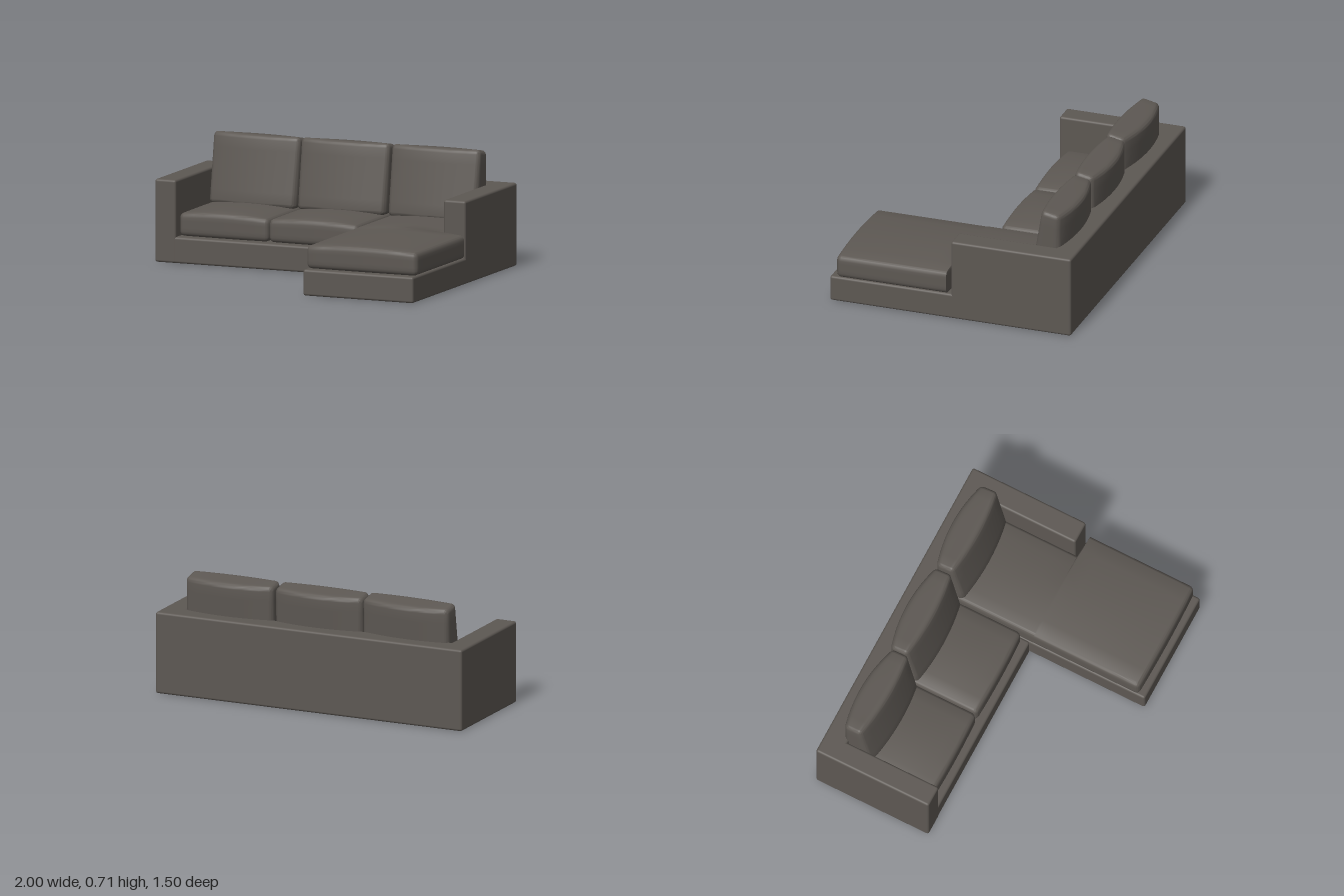
import * as THREE from 'three';
import { RoundedBoxGeometry } from 'three/addons/geometries/RoundedBoxGeometry.js';
import { mergeVertices, toCreasedNormals } from 'three/addons/utils/BufferGeometryUtils.js';

const fabric = new THREE.MeshStandardMaterial({ color: 0x5d5853 });

function addMesh(group, name, geometry) {
  const mesh = new THREE.Mesh(geometry, fabric);
  mesh.name = name;
  group.add(mesh);
  return mesh;
}

// Rounded frame panel given by its limits on each axis
function panel(group, name, [x0, x1], [y0, y1], [z0, z1]) {
  const geo = new RoundedBoxGeometry(x1 - x0, y1 - y0, z1 - z0, 3, 0.014);
  geo.translate((x0 + x1) / 2, (y0 + y1) / 2, (z0 + z1) / 2);
  addMesh(group, name, geo);
}

// Soft box: round the edges, then let a rule reshape each vertex.
// The rule gets the point and its normalised position (-1..1 per axis).
function cushion(size, r, segments, rule) {
  const geo = new THREE.BoxGeometry(2, 2, 2, ...segments);
  geo.deleteAttribute('uv');
  geo.deleteAttribute('normal');
  const pos = geo.attributes.position;
  const p = new THREE.Vector3(), n = new THREE.Vector3(), corner = new THREE.Vector3();
  for (let i = 0; i < pos.count; i++) {
    p.fromBufferAttribute(pos, i);
    for (let a = 0; a < 3; a++) {
      const t = p.getComponent(a), m = Math.abs(t), flat = size[a] / 2 - r;
      p.setComponent(a, Math.sign(t) * flat * Math.min(1, m * 2));
      corner.setComponent(a, Math.sign(t) * Math.max(0, m * 2 - 1));
    }
    p.addScaledVector(corner.normalize(), r);
    n.set(p.x / size[0] * 2, p.y / size[1] * 2, p.z / size[2] * 2);
    rule(p, n);
    pos.setXYZ(i, p.x, p.y, p.z);
  }
  return toCreasedNormals(mergeVertices(geo, 1e-5), 0.8);
}

const lerp = THREE.MathUtils.lerp;

// Crowned seat cushion; the origin of its height is the top of the base
function seatCushion(x0, x1, z0, z1, nz, rule) {
  const h = 0.135;
  return cushion([x1 - x0, h, z1 - z0], 0.028, [16, 8, nz], (p, n) => {
    const lift = (n.y + 1) / 2;
    p.y += 0.155 + h / 2 + lift * 0.025 * (1 - n.x * n.x) * (1 - 0.45 * n.z * n.z);
    p.z += n.z > 0 ? 0.008 * n.z * (1 - n.x * n.x) : 0;
    p.x += (x0 + x1) / 2;
    p.z += (z0 + z1) / 2;
    if (rule) rule(p, n);
  });
}

// Leaning back cushion, bulging to the front and to the rear
function backCushion() {
  return cushion([0.565, 0.41, 0.15], 0.028, [20, 12, 10], (p, n) => {
    const t = (n.y + 1) / 2, bow = 1 - n.x * n.x;
    const front = lerp(-0.45, -0.52, t) + bow * lerp(0.03, 0.025, t);
    const back = -0.625 - bow * lerp(0.025, 0.045, t);
    p.z = lerp(back, front, (n.z + 1) / 2);
    p.y += 0.495 + t * n.z * 0.011;
  });
}

export function createModel() {
  const sofa = new THREE.Group();
  sofa.name = 'cornerSofa';

  // Frame: two bases, back rest and arms
  panel(sofa, 'sofaBase', [-0.995, 0.295], [0, 0.155], [-0.75, -0.01]);
  panel(sofa, 'chaiseBase', [0.29, 0.995], [0, 0.155], [-0.75, 0.748]);
  panel(sofa, 'backRest', [-0.995, 0.995], [0, 0.492], [-0.75, -0.61]);
  panel(sofa, 'rightArm', [-0.995, -0.862], [0, 0.492], [-0.75, -0.008]);
  panel(sofa, 'leftArm', [0.855, 0.995], [0, 0.492], [-0.75, -0.004]);

  // Two square seat cushions
  addMesh(sofa, 'seatCushionRight', seatCushion(-0.863, -0.291, -0.62, -0.058, 16));
  addMesh(sofa, 'seatCushionMiddle', seatCushion(-0.289, 0.28, -0.62, -0.058, 16));

  // Long chaise cushion, narrowed beside the arm and stepping out in front of it
  const step = 0.018, row = (1.327 - 0.056) / 16;
  addMesh(sofa, 'chaiseCushion', seatCushion(0.292, 1, -0.62, 0.707, 32, (p) => {
    const d = p.z - step;
    if (d < 0) p.x = lerp(0.292, 0.857, (p.x - 0.292) / 0.708);
    if (Math.abs(d) < row) p.z = step + Math.sign(d) * 0.005;
  }));

  // Three back cushions, the outer one turned slightly inwards
  [[-0.57, -0.04, 'Right'], [-0.004, 0, 'Middle'], [0.576, 0, 'Left']].forEach(([x, turn, side]) => {
    const geo = backCushion();
    geo.translate(0, 0, 0.56).rotateY(turn).translate(x, 0, -0.56);
    addMesh(sofa, 'backCushion' + side, geo);
  });
  return sofa;
}
